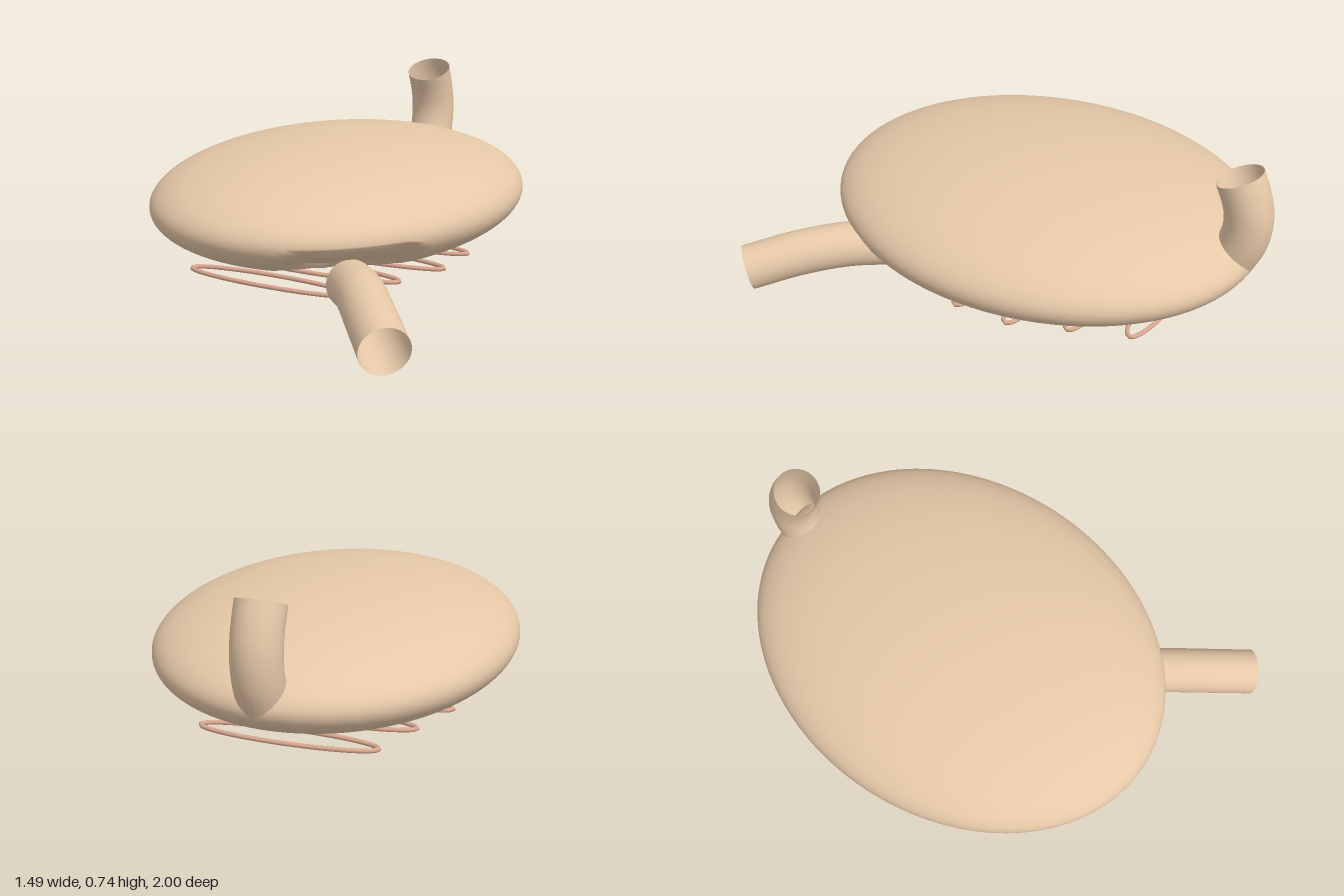
import * as THREE from 'three';

const skin = new THREE.MeshStandardMaterial({ color: 0xe6c8a8, side: THREE.DoubleSide });
const wire = new THREE.MeshStandardMaterial({ color: 0xd9a78f });
const v = (x, y, z) => new THREE.Vector3(x, y, z);

function part(name, geometry, material) {
  const mesh = new THREE.Mesh(geometry, material);
  mesh.name = name;
  return mesh;
}

// Flattened oval body with a sunken patch where the lower duct joins
function bodyGeometry() {
  const geo = new THREE.SphereGeometry(1, 128, 80);
  geo.scale(0.705, 0.23, 0.89);
  geo.translate(-0.04, 0.338, -0.053);
  const pos = geo.attributes.position;
  const patch = v(0.32, 0.2, 0.54);
  const core = v(0.1, 0.36, 0.2);
  const p = v(0, 0, 0);
  for (let i = 0; i < pos.count; i++) {
    p.fromBufferAttribute(pos, i);
    const d = p.distanceTo(patch);
    if (p.y < 0.325 && d < 0.27) {
      p.lerp(core, 0.13 * Math.min(1, (0.27 - d) / 0.03));
      pos.setXYZ(i, p.x, p.y, p.z);
    }
  }
  geo.computeVertexNormals();
  return geo;
}

// Open-ended curved duct
function duct(name, points, radius) {
  const curve = new THREE.CatmullRomCurve3(points);
  return part(name, new THREE.TubeGeometry(curve, 32, radius, 32, false), skin);
}

// Closed oval wire loop lying flat
class OvalCurve extends THREE.Curve {
  constructor(a, b) {
    super();
    this.a = a;
    this.b = b;
  }
  getPoint(t, target = new THREE.Vector3()) {
    const w = t * Math.PI * 2;
    return target.set(this.a * Math.cos(w), 0, this.b * Math.sin(w));
  }
}

export function createModel() {
  const model = new THREE.Group();
  model.name = 'ovalVessel';

  model.add(part('body', bodyGeometry(), skin));

  model.add(duct('upperDuct', [
    v(-0.035, 0.34, -0.85), v(-0.035, 0.45, -0.897), v(-0.035, 0.55, -0.907), v(-0.035, 0.64, -0.887), v(-0.035, 0.712, -0.857),
  ], 0.093));

  model.add(duct('lowerDuct', [
    v(0.31, 0.15, 0.51), v(0.41, 0.163, 0.625), v(0.535, 0.143, 0.78), v(0.67, 0.1, 0.938),
  ], 0.092));

  // Six oval loops under the body, longest in the middle
  const loops = new THREE.Group();
  loops.name = 'undersideLoops';
  [0.35, 0.43, 0.51, 0.51, 0.43, 0.35].forEach((a, i) => {
    const loop = part('loop', new THREE.TubeGeometry(new OvalCurve(a, 0.04 + a * 0.07), 96, 0.009, 10, true), wire);
    loop.position.set(-0.03, 0.111, -0.61 + i * 0.226);
    loops.add(loop);
  });
  model.add(loops);

  return model;
}
